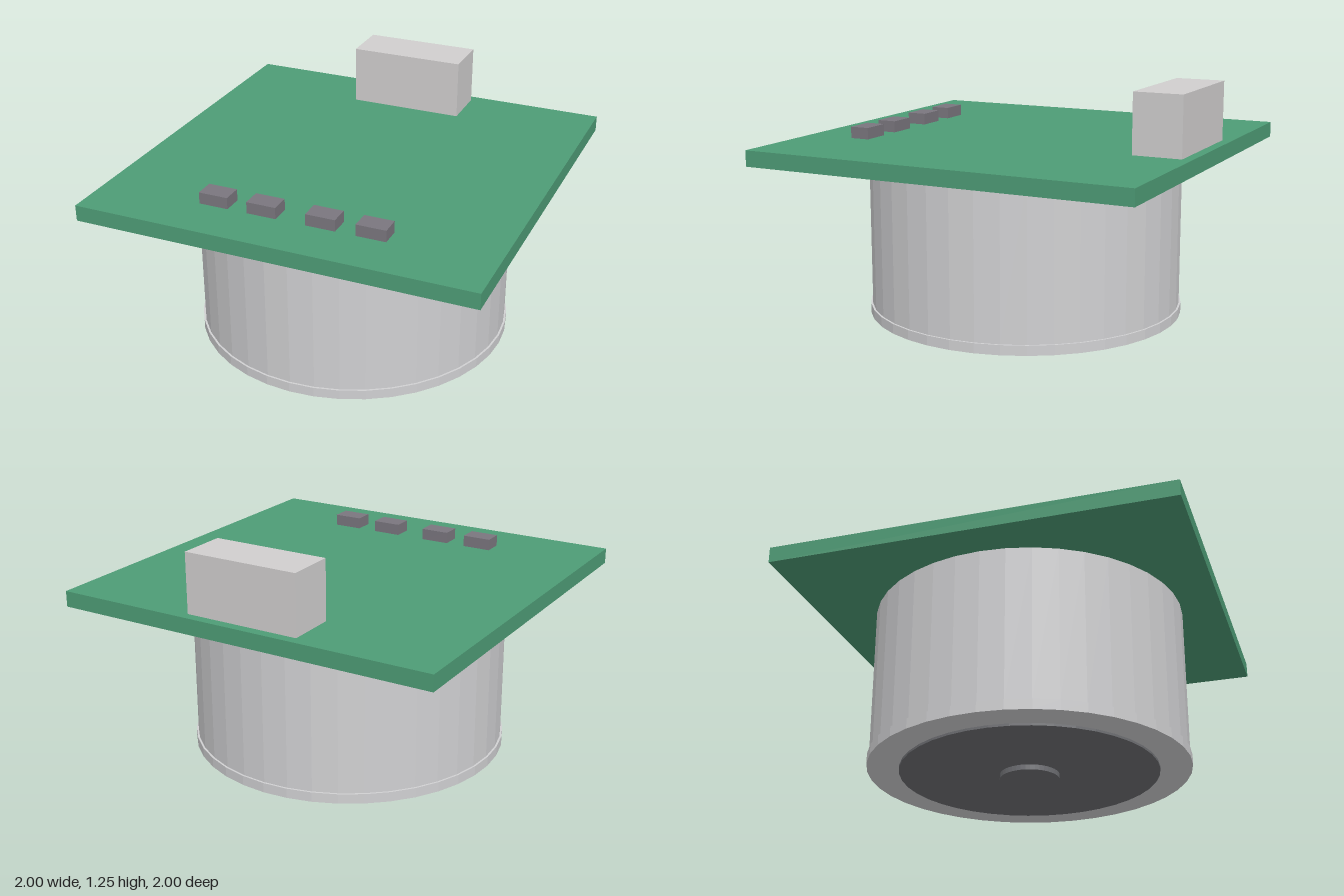
import * as THREE from 'three';

const paint = (name, color, flatShading = false) => {
  const m = new THREE.MeshStandardMaterial({ color, flatShading });
  m.name = name;
  return m;
};

export function createModel() {
  const model = new THREE.Group();
  model.name = 'sensorModule';

  const green = paint('board green', 0x4e9c76);
  const metal = paint('can metal', 0xd0d0d2, true);
  const plastic = paint('connector plastic', 0xd0cece);
  const dark = paint('dark grey', 0x6f7074, true);
  const chipGrey = paint('chip grey', 0x7a767e);

  const add = (name, geometry, material, x, y, z) => {
    const mesh = new THREE.Mesh(geometry, material);
    mesh.name = name;
    mesh.position.set(x, y, z);
    model.add(mesh);
  };
  const box = (name, material, w, d, y0, y1, x, z) =>
    add(name, new THREE.BoxGeometry(w, y1 - y0, d), material, x, (y0 + y1) / 2, z);
  const disc = (name, material, r, y0, y1) =>
    add(name, new THREE.CylinderGeometry(r, r, y1 - y0, 40), material, 0, (y0 + y1) / 2, 0);

  // Square board with the connector at the back edge
  box('circuitBoard', green, 2, 2, 0.865, 0.945, 0, 0);
  box('connector', plastic, 0.595, 0.248, 0.945, 1.245, 0, -0.827);

  // Row of small components near the front edge
  for (const x of [-0.4, -0.15, 0.15, 0.4]) {
    box('component', chipGrey, 0.149, 0.1, 0.945, 1.003, x, 0.7);
  }

  // Round can with its rim, face plate and central button underneath
  disc('canBody', metal, 0.8, 0.088, 0.865);
  disc('canRim', metal, 0.81, 0.038, 0.088);
  disc('facePlate', dark, 0.65, 0.026, 0.038);
  disc('centreButton', dark, 0.149, 0, 0.026);

  return model;
}
